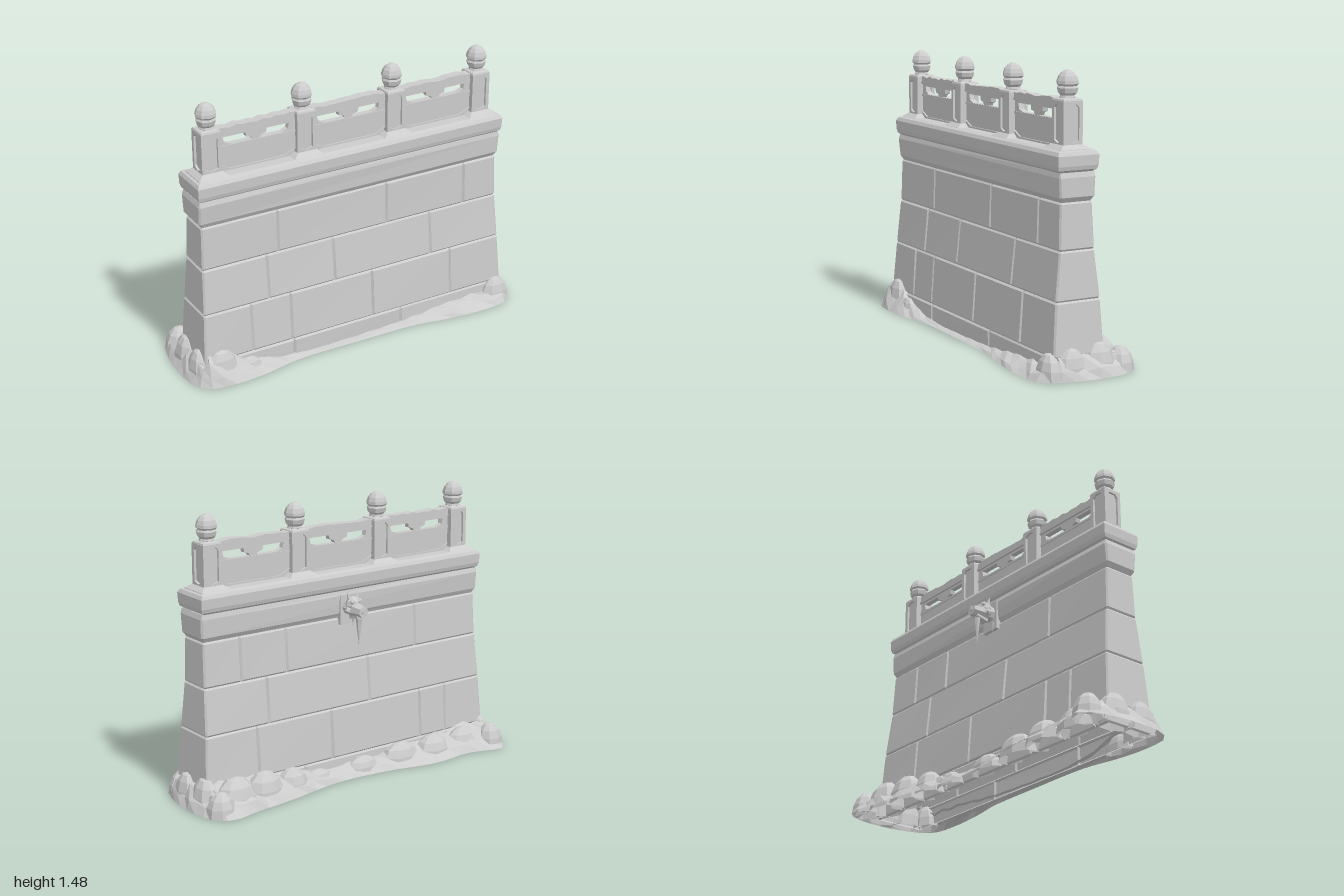
import * as THREE from 'three';

const stone = new THREE.MeshStandardMaterial({ color: 0xcccccc, side: THREE.DoubleSide });
stone.name = 'pale grey stone';
const MID = 0.047; // z of the wall's centre plane

// Faceted mesh added to a parent
function add(parent, name, geo, x = 0, y = 0, z = 0) {
  const g = geo.index ? geo.toNonIndexed() : geo;
  g.computeVertexNormals();
  const m = new THREE.Mesh(g, stone);
  m.name = name;
  m.position.set(x, y, z);
  parent.add(m);
  return m;
}

// Skin between rings of points, each counter-clockwise seen from above
function loft(rings, capTop = true) {
  const n = rings[0].length, pos = rings.flat(2), idx = [];
  for (let r = 0; r < rings.length - 1; r++)
    for (let i = 0; i < n; i++) {
      const a = r * n + i, b = r * n + (i + 1) % n;
      idx.push(a, b, a + n, b, b + n, a + n);
    }
  const t = (rings.length - 1) * n;
  if (capTop) for (let i = 1; i < n - 1; i++) idx.push(t, t + i, t + i + 1);
  const g = new THREE.BufferGeometry();
  g.setAttribute('position', new THREE.Float32BufferAttribute(pos, 3));
  g.setIndex(idx);
  return g;
}
const rect = (y, x, z0, z1) => [[x, y, z1], [x, y, z0], [-x, y, z0], [-x, y, z1]];
const square = (y, r) => rect(y, r, -r, r);

const noise = (a, b = 0) => {
  const s = Math.sin(a * 127.1 + b * 311.7) * 43758.5453;
  return (s - Math.floor(s)) * 2 - 1;
};

// Wall section: height, front z, back z, half length
const section = [
  [0, 0.19, -0.104, 0.925], [0.16, 0.188, -0.1, 0.918], [0.375, 0.169, -0.084, 0.905],
  [0.62, 0.144, -0.058, 0.892], [0.855, 0.137, -0.045, 0.886],
  [0.895, 0.148, -0.056, 0.905], [1.01, 0.153, -0.06, 0.898],
];
function wallAt(y) {
  let i = 0;
  while (i < section.length - 2 && y > section[i + 1][0]) i++;
  const [a, b] = [section[i], section[i + 1]], t = (y - a[0]) / (b[0] - a[0]);
  return a.map((v, k) => v + (b[k] - v) * t);
}

// Shell of one bevelled stone: its outer face, plus the wall's end where it reaches one
function block(x0, x1, y0, y1, side, bevelY) {
  const g = new THREE.BoxGeometry(1, 1, 1, 3, 3, 1), p = g.attributes.position;
  const place = (u, lo, hi, b) => {
    const i = Math.round((u + 0.5) * 3);
    return [[lo, lo + b, hi - b, hi][i], i === 0 || i === 3];
  };
  const atLeft = x0 <= -0.88, atRight = x1 >= 0.88;
  for (let k = 0; k < p.count; k++) {
    const [y, edgeY] = place(p.getY(k), y0, y1, bevelY);
    const [, front, back, end] = wallAt(y);
    let [x, edgeX] = place(p.getX(k), atLeft ? -end : x0, atRight ? end : x1, 0.009);
    if (edgeY && Math.abs(x) === end) x -= Math.sign(x) * 0.007;
    let z = MID;
    if (Math.sign(p.getZ(k)) === side) {
      z = side > 0 ? front : back;
      z -= side * (edgeX || edgeY ? 0.01 : 0.002 + 0.002 * noise(x, y));
    }
    p.setXYZ(k, x, y, z);
  }
  const faces = [side > 0 ? 4 : 5];
  if (atRight) faces.push(0);
  if (atLeft) faces.push(1);
  const idx = Array.from(g.index.array);
  g.setIndex(faces.flatMap(f => idx.slice(g.groups[f].start, g.groups[f].start + g.groups[f].count)));
  g.clearGroups();
  return g;
}

function buildWall(group) {
  const courses = [
    [0, 0.105, [-0.4, 0.26]],
    [0.105, 0.375, [-0.64, -0.41, 0.085, 0.585]],
    [0.375, 0.62, [-0.53, -0.14, 0.46]],
    [0.62, 0.855, [-0.46, 0.19, 0.68]],
    [0.855, 1.0, []],
  ];
  const backJoints = [[-0.37, 0.31], [-0.65, -0.47, 0.13, 0.6], [-0.13, 0.52], [-0.46, 0.39, 0.67], []];
  courses.forEach(([y0, y1, joints], c) => {
    for (const side of [1, -1]) {
      const xs = [-0.9, ...(side > 0 ? joints : backJoints[c]), 0.9];
      for (let i = 0; i < xs.length - 1; i++)
        add(group, c === 4 ? 'corniceStone' : 'wallBlock',
          block(xs[i], xs[i + 1], y0, y1, side, c === 4 ? 0.025 : 0.009));
    }
  });
  // Coping slab
  add(group, 'coping', loft([
    rect(0.995, 0.87, -0.04, 0.13), rect(1.01, 0.897, -0.06, 0.153), rect(1.03, 0.903, -0.066, 0.158),
    rect(1.08, 0.905, -0.069, 0.161), rect(1.098, 0.895, -0.06, 0.15), rect(1.106, 0.872, -0.04, 0.13),
  ]));
}

const polygon = (pts, Type = THREE.Shape) => new Type(pts.map(([x, y]) => new THREE.Vector2(x, y)));

function buildPost(x) {
  const post = new THREE.Group();
  post.name = 'balusterPost';
  post.position.set(x, 0, MID);
  add(post, 'postFoot', loft([square(1.08, 0.09), square(1.106, 0.084), square(1.126, 0.055)]));
  add(post, 'postCore', new THREE.BoxGeometry(0.084, 0.24, 0.084), 0, 1.22, 0);
  // Framed faces with long sunken panels
  const frame = polygon([[-0.054, 1.11], [0.054, 1.11], [0.054, 1.335], [-0.054, 1.335]]);
  frame.holes.push(polygon([[-0.034, 1.145], [0, 1.132], [0.034, 1.145], [0.034, 1.302],
    [0.02, 1.318], [-0.02, 1.318], [-0.034, 1.302]], THREE.Path));
  const faceGeo = new THREE.ExtrudeGeometry(frame, { depth: 0.013, bevelEnabled: false }).translate(0, 0, 0.041);
  for (let i = 0; i < 4; i++) add(post, 'postFace', faceGeo).rotation.y = i * Math.PI / 2;
  add(post, 'postTop', loft([square(1.332, 0.054), square(1.343, 0.05), square(1.348, 0.035)]));
  // Bud-shaped finial
  const profile = [[0.03, 1.343], [0.04, 1.349], [0.036, 1.36], [0.047, 1.372], [0.053, 1.395], [0.047, 1.405],
    [0.055, 1.415], [0.054, 1.43], [0.046, 1.452], [0.031, 1.47], [0.013, 1.48], [0, 1.482]];
  add(post, 'finial', new THREE.LatheGeometry(profile.map(([r, y]) => new THREE.Vector2(r, y)), 8));
  return post;
}

function buildPanel(x) {
  const panel = new THREE.Group();
  panel.name = 'balustradePanel';
  panel.position.set(x, 0, MID);
  const slab = (pts, depth, holes = []) => {
    const s = polygon(pts);
    s.holes.push(...holes.map(h => polygon(h, THREE.Path)));
    return new THREE.ExtrudeGeometry(s, { depth, bevelEnabled: false }).translate(0, 0, -depth / 2);
  };
  const w = 0.22;
  const hole = [[-0.185, 1.285], [-0.178, 1.255], [-0.14, 1.241], [-0.02, 1.241], [-0.03, 1.256], [-0.055, 1.262], [-0.06, 1.285]];
  add(panel, 'piercedPanel', slab([[-w, 1.09], [w, 1.09], [w, 1.31], [-w, 1.31]], 0.03,
    [hole, hole.map(([a, b]) => [-a, b])]));
  add(panel, 'bottomFrame', slab([[-w, 1.09], [w, 1.09], [w, 1.145], [0.155, 1.115], [-0.155, 1.115], [-w, 1.145]], 0.046));
  add(panel, 'middleRail', new THREE.BoxGeometry(2 * w, 0.012, 0.04), 0, 1.234, 0);
  // Weathered handrail with an uneven top
  const top = [];
  for (let i = 0; i <= 12; i++) top.push([w - i * w / 6, 1.34 + 0.006 * noise(i, x)]);
  add(panel, 'handrail', slab([[-w, 1.298], [w, 1.298], ...top], 0.052));
  return panel;
}

function buildMound(group) {
  // Footprint: x, height against the wall, z
  const outline = [[0.99, 0.13, 0.1], [0.985, 0.12, -0.18], [0.9, 0.14, -0.29], [0.72, 0.13, -0.265], [0.5, 0.12, -0.24],
    [0.15, 0.07, -0.18], [-0.15, 0.08, -0.2], [-0.45, 0.1, -0.26], [-0.7, 0.11, -0.245], [-0.92, 0.14, -0.293],
    [-0.985, 0.13, -0.15], [-0.992, 0.13, 0.15], [-0.94, 0.15, 0.25], [-0.78, 0.13, 0.278], [-0.6, 0.06, 0.265],
    [-0.4, 0.02, 0.228], [0, 0.015, 0.228], [0.33, 0.03, 0.238], [0.5, 0.055, 0.268], [0.75, 0.065, 0.29], [0.92, 0.11, 0.262]];
  const pts = new THREE.CatmullRomCurve3(outline.map(p => new THREE.Vector3(...p)), true).getSpacedPoints(72).slice(0, -1);
  const clamp = THREE.MathUtils.clamp;
  const ring = (t, lift) => pts.map((p, i) => {
    const ix = clamp(p.x, -0.9, 0.9), iz = clamp(p.z, -0.085, 0.17);
    const s = t > 0 && t < 1 ? t + 0.1 * noise(i, t) : t;
    return [p.x + (ix - p.x) * s, p.y * lift * (1 + 0.2 * noise(i, lift)), p.z + (iz - p.z) * s];
  });
  add(group, 'earthMound', loft([ring(0, 0), ring(0.22, 0.35), ring(0.55, 0.7), ring(1, 0.95)], false));
  // Boulders: x, z, radius x, height, radius z
  const rocks = [[0.78, -0.15, 0.13, 0.165, 0.09], [0.6, -0.14, 0.12, 0.155, 0.085], [0.42, -0.13, 0.1, 0.13, 0.075],
    [0.25, -0.12, 0.1, 0.08, 0.05], [-0.05, -0.12, 0.11, 0.09, 0.055], [-0.3, -0.13, 0.13, 0.12, 0.07],
    [-0.52, -0.14, 0.12, 0.12, 0.085], [-0.74, -0.14, 0.12, 0.12, 0.07],
    [-0.89, -0.2, 0.08, 0.13, 0.075], [0.9, -0.2, 0.08, 0.125, 0.075], [0.91, -0.07, 0.07, 0.165, 0.1],
    [0.92, 0.09, 0.06, 0.15, 0.09], [0.88, 0.19, 0.09, 0.13, 0.06], [-0.91, -0.05, 0.07, 0.165, 0.1],
    [-0.92, 0.11, 0.06, 0.16, 0.09], [-0.83, 0.19, 0.11, 0.17, 0.055], [-0.68, 0.2, 0.09, 0.09, 0.04]];
  rocks.forEach(([x, z, rx, h, rz], i) => {
    const g = new THREE.SphereGeometry(1, 8, 4, 0, Math.PI * 2, 0, Math.PI / 2).rotateY(i);
    add(group, 'boulder', g.scale(rx, h, rz), x, 0, z);
  });
}

function buildSpout(group) {
  // Beast-head water spout on the back
  const spout = new THREE.Group();
  spout.name = 'beastHeadSpout';
  group.add(spout);
  add(spout, 'spoutPlate', new THREE.BoxGeometry(0.11, 0.16, 0.03), 0, 0.9, -0.049);
  add(spout, 'neck', new THREE.CylinderGeometry(0.038, 0.046, 0.06, 8).rotateX(-Math.PI / 2), 0, 0.915, -0.08);
  add(spout, 'head', new THREE.SphereGeometry(1, 8, 6).scale(0.044, 0.046, 0.042), 0, 0.93, -0.1);
  add(spout, 'snout', new THREE.CylinderGeometry(0.03, 0.042, 0.09, 7).rotateX(-Math.PI / 2), 0, 0.906, -0.145);
  add(spout, 'nose', new THREE.IcosahedronGeometry(0.024, 0), 0, 0.912, -0.175);
  add(spout, 'jaw', new THREE.BoxGeometry(0.045, 0.018, 0.07), 0, 0.874, -0.13).rotation.x = 0.25;
  for (const s of [1, -1]) {
    add(spout, 'ear', new THREE.ConeGeometry(0.016, 0.055, 5), s * 0.028, 0.975, -0.095).rotation.z = -s * 0.3;
    add(spout, 'brow', new THREE.IcosahedronGeometry(0.015, 0), s * 0.022, 0.952, -0.125);
    add(spout, 'cheek', new THREE.IcosahedronGeometry(0.022, 0), s * 0.034, 0.905, -0.105);
  }
  // Icicles: x, top y, z, radius, length
  for (const [x, y, z, r, h] of [[0, 0.87, -0.15, 0.018, 0.15], [-0.025, 0.86, -0.064, 0.012, 0.055]])
    add(spout, 'icicle', new THREE.ConeGeometry(r, h, 6).rotateX(Math.PI), x, y - h / 2, z);
}

export function createModel() {
  const group = new THREE.Group();
  group.name = 'stoneWall';
  buildWall(group);
  const posts = [-0.797, -0.266, 0.266, 0.797];
  posts.forEach((x, i) => {
    group.add(buildPost(x));
    if (i) group.add(buildPanel((x + posts[i - 1]) / 2));
  });
  buildMound(group);
  buildSpout(group);
  return group;
}
